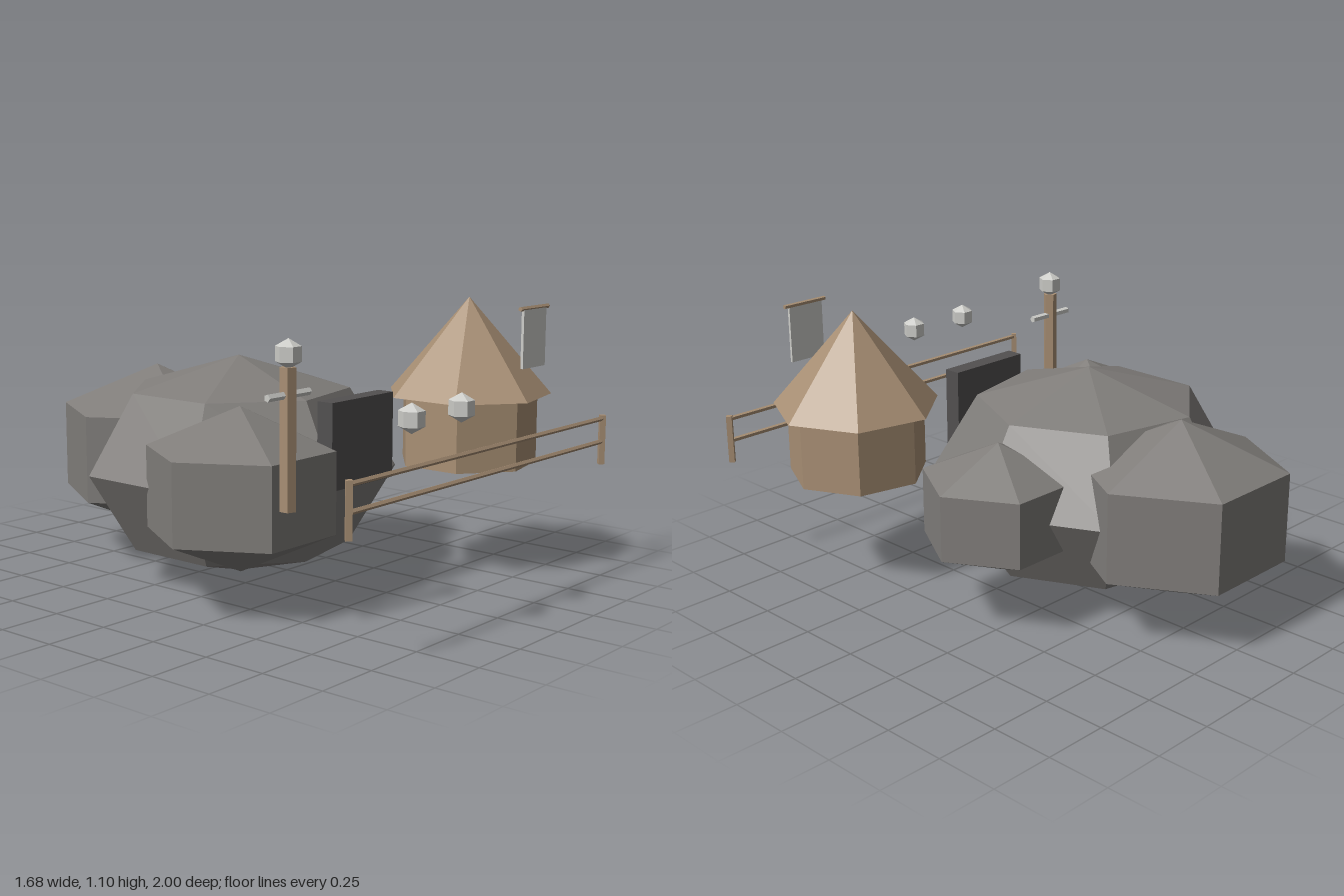
import * as THREE from 'three';

export function createModel() {
  const model = new THREE.Group();
  model.name = 'rockyIslandWithHut';

  const paint = (name, color) => {
    const m = new THREE.MeshStandardMaterial({ color });
    m.name = name;
    return m;
  };
  const stone = paint('stone grey', 0x807d7a);
  const dark = paint('dark slate', 0x525050);
  const wood = paint('tan wood', 0xa88f74);
  const pale = paint('pale grey', 0xcdcdc9);

  // Unindexed geometry with face normals gives the faceted look
  const add = (name, geometry, material, x, y, z) => {
    const flat = geometry.index ? geometry.toNonIndexed() : geometry;
    flat.computeVertexNormals();
    const mesh = new THREE.Mesh(flat, material);
    mesh.name = name;
    mesh.position.set(x, y, z);
    model.add(mesh);
    return mesh;
  };

  // Low-poly ball with a corner on +x
  const ball = (r, ry, sides, rings) =>
    new THREE.SphereGeometry(r, sides, rings).scale(1, ry / r, 1).rotateY(Math.PI);

  // Upright prism with a corner on +x
  const prism = (r, h, sides) =>
    new THREE.CylinderGeometry(r, r, h, sides).rotateY(Math.PI / 2);

  // Bar running along x
  const bar = (r, length, sides) =>
    new THREE.CylinderGeometry(r, r, length, sides).rotateZ(Math.PI / 2);

  // Rocks
  add('mainRock', ball(0.62, 0.437, 7, 4), stone, -0.12, 0.442, -0.147);
  add('frontRightRock', ball(0.41, 0.31, 6, 3), stone, -0.485, 0.445, 0.19);
  add('leftRock', ball(0.343, 0.257, 6, 3), stone, 0.38, 0.442, -0.15);
  add('backRock', ball(0.468, 0.351, 6, 3), stone, -0.075, 0.445, -0.648);

  // Dark doorway slab against the main rock
  add('doorSlab', new THREE.BoxGeometry(0.365, 0.327, 0.07), dark, -0.122, 0.609, 0.44);

  // Hut
  add('hutWall', prism(0.277, 0.275, 7), wood, 0.507, 0.5825, 0.514);
  add('hutRoof', new THREE.ConeGeometry(0.332, 0.383, 7).rotateY(Math.PI / 2),
    wood, 0.505, 0.9115, 0.514);

  // Hanging banner in front of the roof
  add('banner', new THREE.BoxGeometry(0.16, 0.225, 0.011), pale, 0.505, 0.962, 0.81);
  add('bannerRod', bar(0.009, 0.2, 5), wood, 0.505, 1.079, 0.81);

  // Totem post with crossbar and head
  add('totemPost', prism(0.03, 0.5, 5), wood, -0.638, 0.695, 0.55);
  add('totemArm', bar(0.014, 0.22, 5), pale, -0.635, 0.85, 0.548);
  add('totemHead', ball(0.053, 0.053, 6, 3), pale, -0.636, 0.99, 0.55);

  // Fence along the front
  const fenceZ = 0.957;
  for (const x of [-0.82, 0.8]) add('fencePost', prism(0.016, 0.197, 4), wood, x, 0.543, fenceZ);
  for (const y of [0.536, 0.628]) add('fenceRail', bar(0.01, 1.62, 5), wood, -0.01, y, fenceZ);

  // Floating stones above the fence
  for (const x of [-0.488, -0.196]) add('fenceStone', ball(0.053, 0.053, 6, 3), pale, x, 0.795, fenceZ);

  return model;
}
